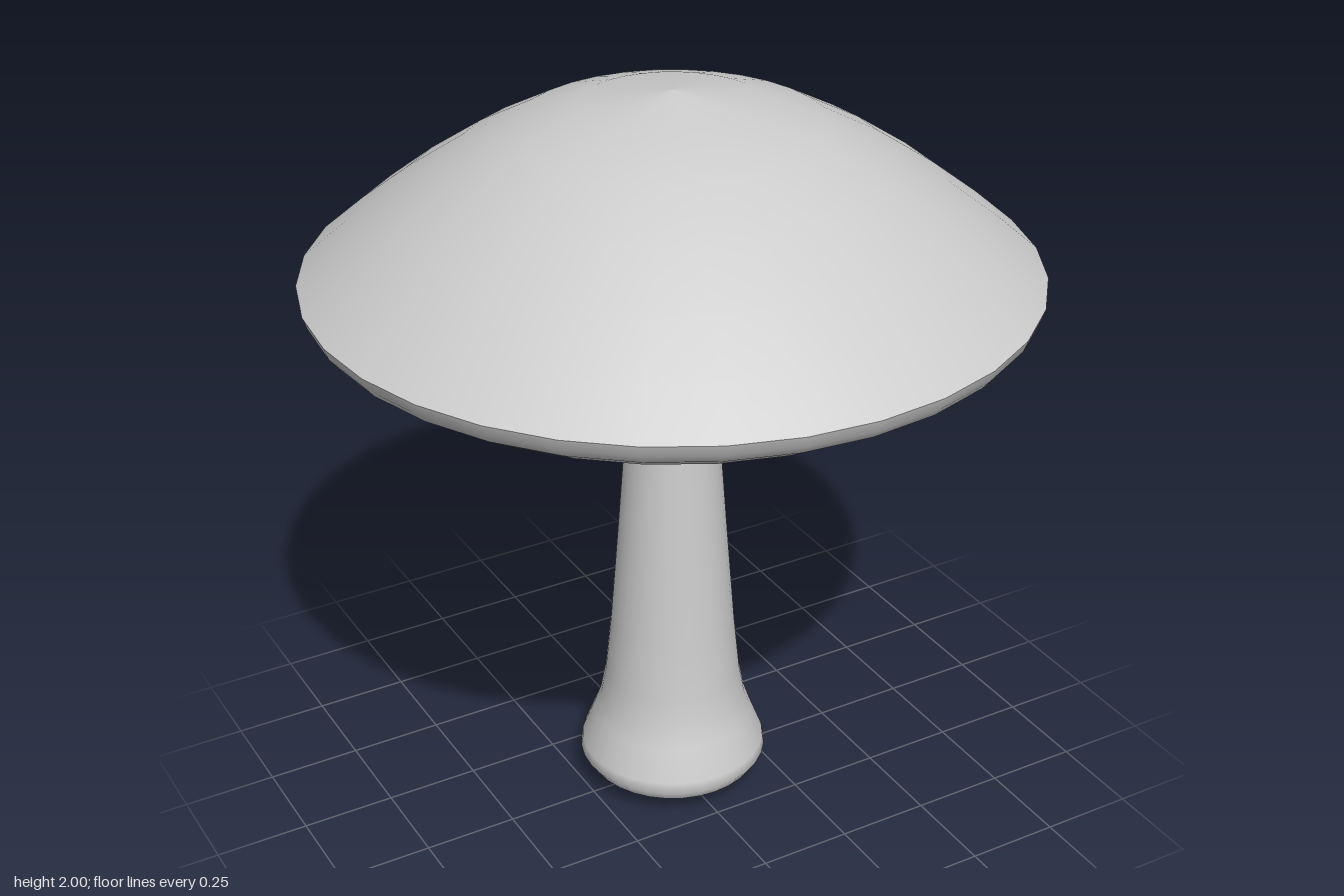
import * as THREE from 'three';

const SIDES = 32;
const grey = new THREE.MeshStandardMaterial({ color: 0xcccccc, side: THREE.DoubleSide });

// Revolve a [radius, height] profile, listed so that its faces point outward
function turned(name, profile) {
  const points = profile.map(([r, y]) => new THREE.Vector2(r, y));
  const mesh = new THREE.Mesh(new THREE.LatheGeometry(points, SIDES), grey);
  mesh.name = name;
  return mesh;
}

export function createModel() {
  const group = new THREE.Group();
  group.name = 'mushroom';

  // Domed top of the cap, from the rim to the apex
  const capTop = turned('capTop', [
    [0.93, 1.535], [0.82, 1.63], [0.69, 1.73], [0.54, 1.83],
    [0.39, 1.91], [0.235, 1.96], [0, 2],
  ]);

  // Rounded underside of the cap, hollowed around the collar
  const capUnderside = turned('capUnderside', [
    [0, 1.46], [0.2, 1.45], [0.27, 1.425], [0.35, 1.40], [0.46, 1.385], [0.56, 1.382],
    [0.71, 1.40], [0.82, 1.43], [0.9, 1.48], [0.92, 1.505], [0.93, 1.535],
  ]);

  // Bowl-shaped collar where the stem meets the cap
  const collar = turned('collar', [
    [0, 1.30], [0.095, 1.30], [0.15, 1.32], [0.2, 1.35],
    [0.24, 1.38], [0.26, 1.43], [0.25, 1.45],
  ]);

  // Tapered stem with a swollen foot
  const stem = turned('stem', [
    [0.235, 0.06], [0.255, 0.09], [0.25, 0.12], [0.215, 0.21], [0.198, 0.26],
    [0.183, 0.34], [0.167, 0.5], [0.145, 0.78], [0.127, 1.02], [0.116, 1.17], [0.092, 1.31],
  ]);
  const foot = turned('stemFoot', [
    [0, 0], [0.13, 0.003], [0.165, 0.012], [0.2, 0.035], [0.235, 0.06],
  ]);

  group.add(capTop, capUnderside, collar, stem, foot);
  return group;
}
